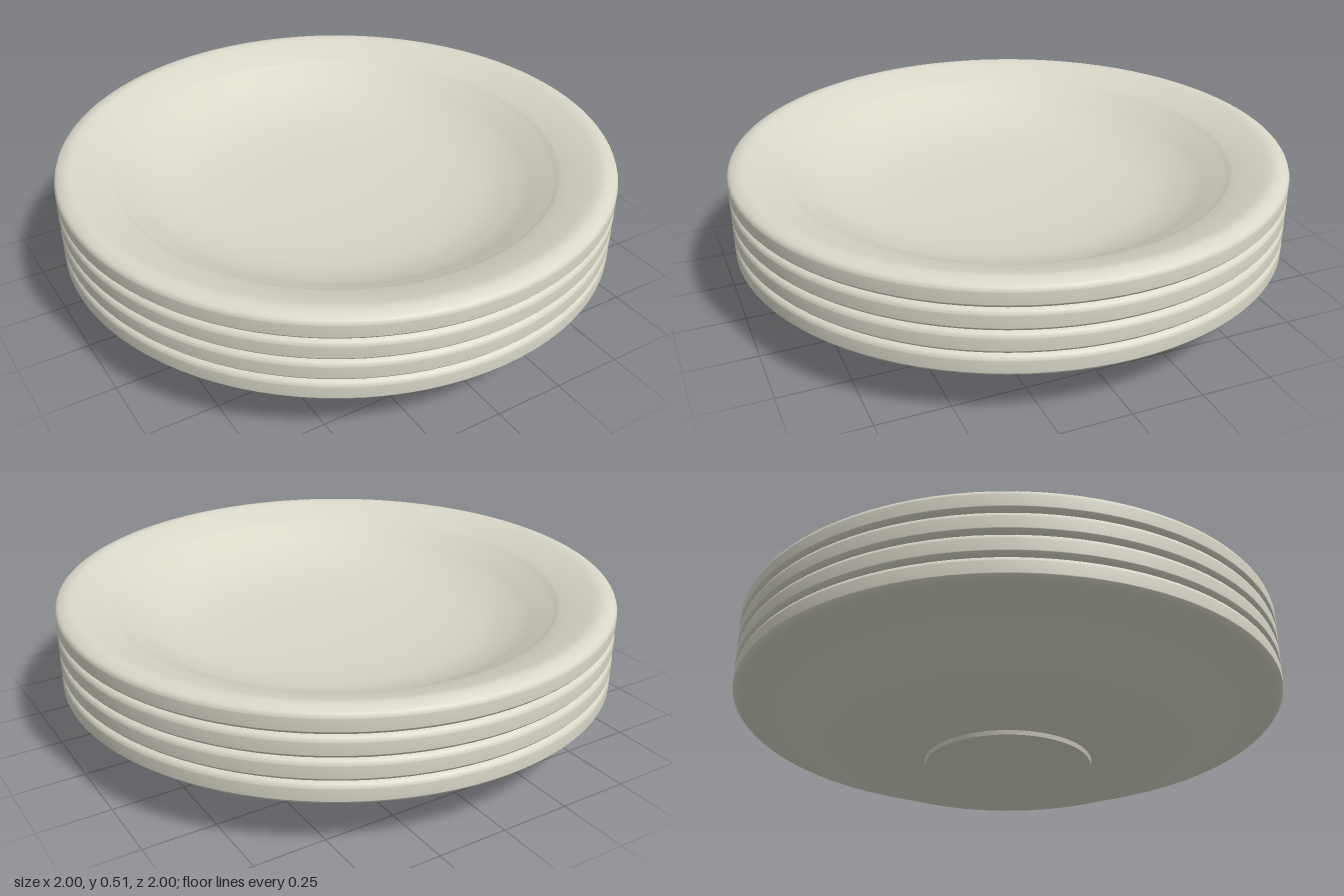
import * as THREE from 'three';

const SEGMENTS = 96;
const PLATES = 4;
const PITCH = 0.0775;

// Smooth curve through [radius, height] pairs
function smooth(pairs, divisions) {
  return new THREE.SplineCurve(pairs.map(([r, y]) => new THREE.Vector2(r, y))).getPoints(divisions);
}

export function createModel() {
  const group = new THREE.Group();
  group.name = 'plateStack';
  const glaze = new THREE.MeshStandardMaterial({ color: 0xd9d7c8 });

  // Plate section: underside and rim, then flared lip and bowl back to the axis
  const underside = smooth([
    [0, 0.014], [0.2, 0.014], [0.39, 0.017], [0.525, 0.026], [0.67, 0.066],
    [0.8, 0.13], [0.87, 0.158], [0.95, 0.178], [0.985, 0.19], [1, 0.205],
  ], 40);
  const lip = smooth([
    [1, 0.245], [0.99, 0.262], [0.95, 0.274], [0.9, 0.262], [0.84, 0.241], [0.8, 0.224],
  ], 18);
  const bowl = smooth([
    [0.79, 0.217], [0.74, 0.19], [0.66, 0.148], [0.54, 0.108], [0.38, 0.086], [0.2, 0.077], [0, 0.075],
  ], 28);
  const plateGeometry = new THREE.LatheGeometry([...underside, ...lip, ...bowl], SEGMENTS);

  // Low flat foot under each plate
  const footGeometry = new THREE.CylinderGeometry(0.305, 0.3, 0.018, SEGMENTS);

  for (let i = 0; i < PLATES; i++) {
    const plate = new THREE.Group();
    plate.name = `plate${i + 1}`;
    plate.position.y = i * PITCH;

    const body = new THREE.Mesh(plateGeometry, glaze);
    body.name = 'plateBody';
    const foot = new THREE.Mesh(footGeometry, glaze);
    foot.name = 'plateFoot';
    foot.position.y = 0.009;

    plate.add(body, foot);
    group.add(plate);
  }
  return group;
}
